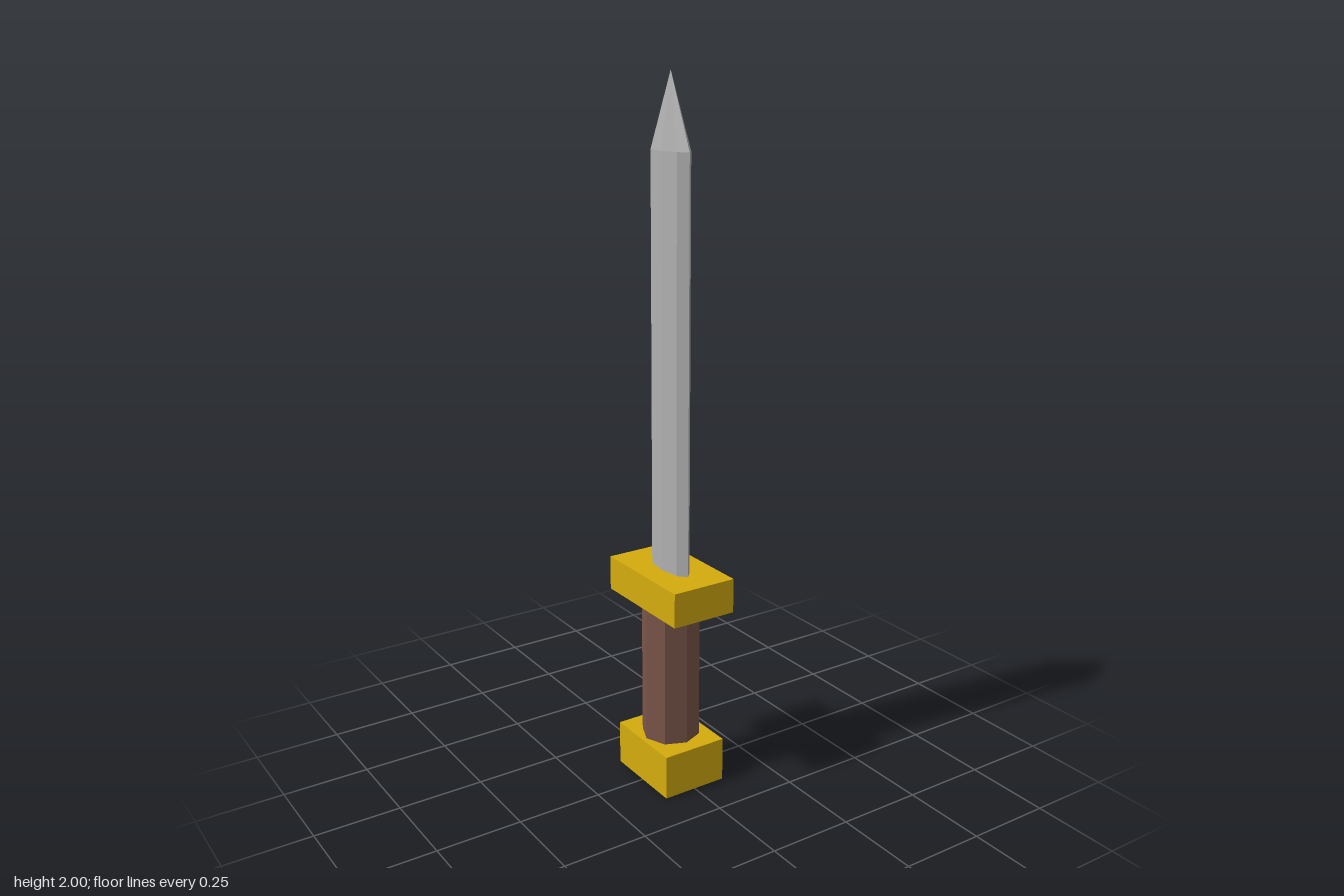
import * as THREE from 'three';

export function createModel() {
  const group = new THREE.Group();
  const material = (name, color) => {
    const m = new THREE.MeshStandardMaterial({ color, flatShading: true });
    m.name = name;
    return m;
  };
  const gold = material('gold', 0xd4ac0d);
  const leather = material('brown leather', 0x795548);
  const steel = material('steel', 0xb0b0b0);

  const add = (name, geometry, mat, y) => {
    const mesh = new THREE.Mesh(geometry, mat);
    mesh.name = name;
    mesh.position.y = y;
    group.add(mesh);
  };

  // Octagonal prism or spike standing on its base, squashed across x
  const octagon = (top, bottom, height, squash = 1) =>
    new THREE.CylinderGeometry(top, bottom, height, 8, 1, true)
      .scale(squash, 1, 1)
      .translate(0, height / 2, 0);
  const block = (w, h, d) => new THREE.BoxGeometry(w, h, d).translate(0, h / 2, 0);

  // Hilt
  add('pommel', block(0.196, 0.13, 0.25), gold, 0);
  add('grip', octagon(0.084, 0.084, 0.415), leather, 0.13);
  add('guard', block(0.196, 0.1, 0.334), gold, 0.545);

  // Blade, thin in x and broad in z
  const squash = 0.36;
  add('blade', octagon(0.087, 0.087, 1.155, squash), steel, 0.645);
  add('bladeTip', octagon(0, 0.087, 0.2, squash), steel, 1.8);

  return group;
}
